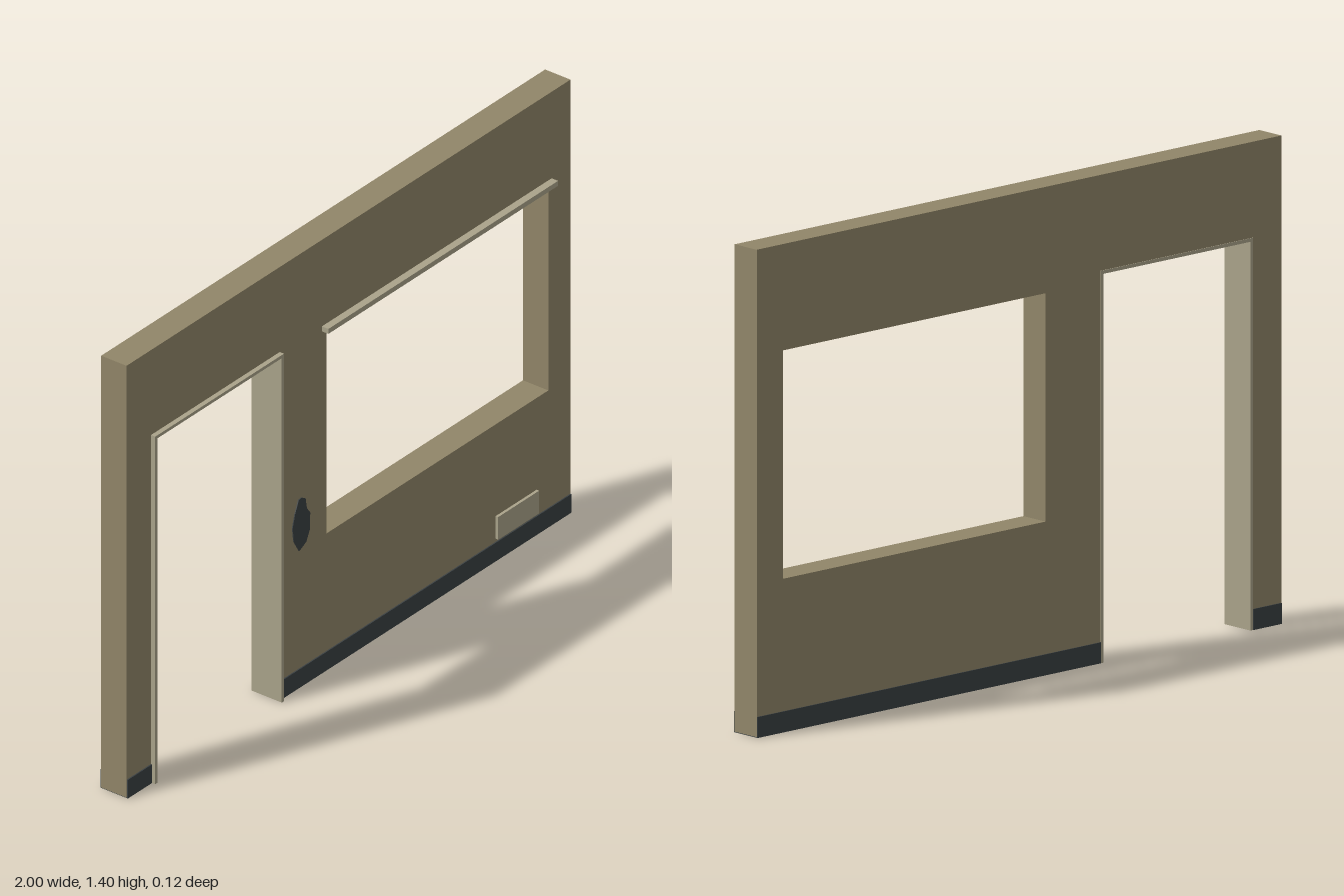
import * as THREE from 'three';

export function createModel() {
  const model = new THREE.Group();
  model.name = 'wallSection';

  const mat = (name, color) => {
    const m = new THREE.MeshStandardMaterial({ color });
    m.name = name;
    return m;
  };
  const wall = mat('wallTan', 0x918669);
  const trim = mat('paleTrim', 0xaaa38a);
  const dark = mat('darkSlate', 0x3a4042);

  // Box given by its lower and upper limits on each axis
  const box = (name, material, x0, x1, y0, y1, z0, z1) => {
    const mesh = new THREE.Mesh(new THREE.BoxGeometry(x1 - x0, y1 - y0, z1 - z0), material);
    mesh.position.set((x0 + x1) / 2, (y0 + y1) / 2, (z0 + z1) / 2);
    mesh.name = name;
    model.add(mesh);
  };

  // Wall panels around the door and window openings
  const back = -0.055, front = 0.035, top = 1.4, foot = 0.002;
  [
    ['rightPost', -1, -0.89, foot, top],
    ['doorHeader', -0.89, -0.31, 1.125, top],
    ['middlePost', -0.31, -0.1, foot, top],
    ['windowHeader', -0.1, 0.9, 1.095, top],
    ['panelBelowWindow', -0.1, 0.9, foot, 0.44],
    ['leftPost', 0.9, 1, foot, top],
  ].forEach(([name, x0, x1, y0, y1]) => box(name, wall, x0, x1, y0, y1, back, front));

  // Skirting, standing slightly proud of both wall faces
  box('skirtingRight', dark, -0.999, -0.89, 0, 0.06, -0.058, 0.039);
  box('skirtingLeft', dark, -0.31, 0.999, 0, 0.06, -0.058, 0.039);

  // Door lining
  box('doorJambRight', trim, -0.89, -0.88, 0, 1.125, -0.057, 0.05);
  box('doorJambLeft', trim, -0.32, -0.31, 0, 1.125, -0.057, 0.05);
  box('doorLintelTrim', trim, -0.88, -0.32, 1.115, 1.125, -0.057, 0.05);

  // Ledge over the window and small plate near the floor
  box('windowLedge', trim, -0.12, 0.915, 1.104, 1.12, front, 0.058);
  box('ventPlate', trim, 0.66, 0.845, 0.072, 0.145, 0.037, 0.046);

  // Irregular dark patch on the middle post
  const outline = [
    [-0.215, 0.61], [-0.197, 0.6], [-0.191, 0.565], [-0.176, 0.545],
    [-0.178, 0.49], [-0.194, 0.458], [-0.225, 0.442], [-0.236, 0.46],
    [-0.25, 0.485], [-0.255, 0.53], [-0.244, 0.57], [-0.228, 0.608],
  ].map(([x, y]) => new THREE.Vector2(x, y));
  const patch = new THREE.Mesh(
    new THREE.ExtrudeGeometry(new THREE.Shape(outline), { depth: 0.003, bevelEnabled: false }), dark);
  patch.position.z = front;
  patch.name = 'darkPatch';
  model.add(patch);

  return model;
}
